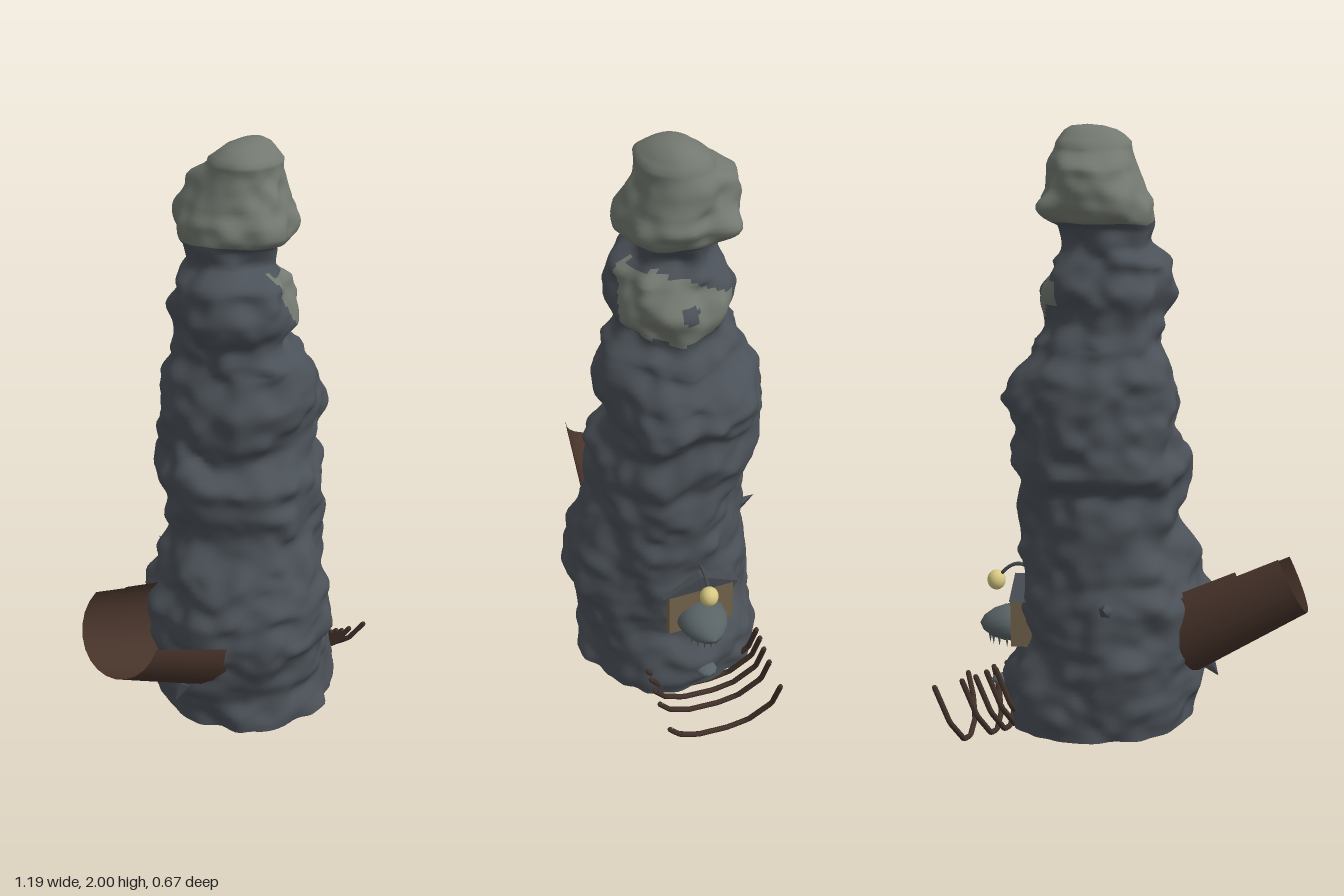
import * as THREE from 'three';

const mat = (name, color, double) => {
  const m = new THREE.MeshStandardMaterial({ color });
  m.name = name;
  if (double) m.side = THREE.DoubleSide;
  return m;
};

// Seeded 3D value noise, about -1..1
const hash = (x, y, z) => {
  let h = (x * 374761393 + y * 668265263 + z * 1274126177) | 0;
  h = Math.imul(h ^ (h >>> 13), 1274126177);
  return (((h ^ (h >>> 16)) >>> 0) / 4294967295) * 2 - 1;
};
function noise(x, y, z) {
  const [i, j, k] = [x, y, z].map(Math.floor);
  const [u, v, w] = [x - i, y - j, z - k].map(t => t * t * (3 - 2 * t));
  const L = THREE.MathUtils.lerp;
  const row = (b, c) => L(hash(i, j + b, k + c), hash(i + 1, j + b, k + c), u);
  return L(L(row(0, 0), row(1, 0), v), L(row(0, 1), row(1, 1), v), w);
}

// Column sections: height, min x, max x, min z, max z
const SECTIONS = [
  [0.10, -0.22, 0.395, -0.30, 0.30], [0.20, -0.235, 0.40, -0.30, 0.30],
  [0.30, -0.25, 0.34, -0.295, 0.31], [0.40, -0.285, 0.33, -0.285, 0.33],
  [0.50, -0.285, 0.34, -0.285, 0.31], [0.60, -0.245, 0.33, -0.26, 0.285],
  [0.75, -0.185, 0.32, -0.24, 0.24], [0.87, -0.20, 0.34, -0.235, 0.25],
  [0.95, -0.215, 0.37, -0.29, 0.25], [1.05, -0.17, 0.34, -0.29, 0.20],
  [1.15, -0.175, 0.385, -0.28, 0.22], [1.22, -0.165, 0.35, -0.27, 0.22],
  [1.33, -0.13, 0.30, -0.23, 0.19], [1.40, -0.13, 0.23, -0.19, 0.13],
  [1.50, -0.16, 0.25, -0.22, 0.18], [1.58, -0.14, 0.22, -0.19, 0.16],
  [1.65, -0.09, 0.18, -0.15, 0.09], [1.70, -0.09, 0.19, -0.155, 0.10],
  [1.725, -0.09, 0.235, -0.20, 0.15], [1.77, -0.085, 0.255, -0.215, 0.15],
  [1.81, -0.065, 0.235, -0.22, 0.14], [1.87, -0.055, 0.225, -0.21, 0.13],
  [1.94, -0.03, 0.21, -0.13, 0.105], [1.975, 0.005, 0.19, -0.085, 0.065],
  [1.995, 0.06, 0.16, -0.045, 0.025],
];

function section(y) {
  let i = 0;
  while (i < SECTIONS.length - 2 && SECTIONS[i + 1][0] < y) i++;
  const a = SECTIONS[i], b = SECTIONS[i + 1];
  const t = THREE.MathUtils.smoothstep(y, a[0], b[0]);
  return a.map((v, k) => v + (b[k] - v) * t);
}

// Lumpy column; pale stone on the cap and one patch
function columnGeometry() {
  const N = 108, M = 150, y0 = 0.1, y1 = 1.995, pos = [], dark = [], pale = [];
  for (let j = 0; j <= M; j++) {
    const y = y0 + (y1 - y0) * j / M;
    for (let i = 0; i < N; i++) {
      const a = i / N * Math.PI * 2, c = Math.cos(a), s = Math.sin(a);
      // Ledges wander up and down around the column
      const wander = y < 1.35 ? 0.035 * noise(c * 2 + 5, y * 4, s * 2) : 0;
      const [, xa, xb, za, zb] = section(Math.max(y0, y + wander));
      const x = (xa + xb) / 2 + c * (xb - xa) / 2, z = (za + zb) / 2 + s * (zb - za) / 2;
      const fade = Math.min(1, (y1 - y) / 0.12);
      // Knob on the back left of the cap
      const knob = 0.06 * Math.exp(-(((a - 5.65) / 0.3) ** 2) - ((y - 1.755) / 0.04) ** 2);
      const d = knob + fade * (0.024 * noise(x * 8 + 3, y * 9, z * 8) +
        0.016 * noise(x * 17, y * 20 + 7, z * 17) - 0.002);
      const lift = j === 0 || j === M ? 0 : 0.017 * fade * noise(x * 9, y * 6 + 40, z * 9);
      pos.push(x + c * d, y + lift, z + s * d);
    }
  }
  const isPale = (a, y) => {
    const n = noise(Math.cos(a) * 3 + 9, y * 8, Math.sin(a) * 3);
    if (y > 1.712) return true;
    if (Math.hypot((a - 0.05) * 0.2, y - 1.505) < 0.028) return false;
    const back = -0.75 + Math.max(0, y - 1.52) * 9;
    const front = 1.27 + (y - 1.5) * 1.8;
    return y > 1.41 + 0.02 * n + 0.07 * Math.max(0, -a) && y < 1.615 + 0.015 * n &&
      a > back + 0.1 * n && a < front + 0.15 * n;
  };
  for (let j = 0; j < M; j++) for (let i = 0; i < N; i++) {
    const k = (i + 1) % N, p = j * N + i, q = j * N + k;
    let a = (i + 0.5) / N * Math.PI * 2;
    if (a > Math.PI) a -= Math.PI * 2;
    (isPale(a, y0 + (y1 - y0) * (j + 0.5) / M) ? pale : dark).push(p, p + N, q, q, p + N, q + N);
  }
  // Rounded tip, then the flat underside with its own rim
  const tip = pos.length / 3;
  pos.push(0.11, 2, -0.01);
  for (let i = 0; i < N; i++) pale.push(M * N + i, tip, M * N + (i + 1) % N);
  const rim = tip + 1;
  pos.push(...pos.slice(0, N * 3), 0.08, y0, 0);
  for (let i = 0; i < N; i++) dark.push(rim + i, rim + (i + 1) % N, rim + N);
  const g = new THREE.BufferGeometry();
  g.setAttribute('position', new THREE.Float32BufferAttribute(pos, 3));
  g.setIndex([...dark, ...pale]);
  g.addGroup(0, dark.length, 0);
  g.addGroup(dark.length, pale.length, 1);
  g.computeVertexNormals();
  return g;
}

export function createModel() {
  const model = new THREE.Group();
  const rock = mat('dark rock', 0x4b5158);
  const stone = mat('pale stone', 0x737970);
  const hullWood = mat('hull wood', 0x47332a, true);
  const ribWood = mat('rib wood', 0x42312a);
  const plank = mat('hut plank', 0x75664e);
  const slate = mat('slate', 0x454a50);
  const skin = mat('fish skin', 0x596366);
  const glow = mat('lamp glow', 0xd9c983);
  const add = (name, geo, m, x = 0, y = 0, z = 0, parent = model) => {
    const mesh = new THREE.Mesh(geo, m);
    mesh.name = name;
    mesh.position.set(x, y, z);
    parent.add(mesh);
    return mesh;
  };
  add('rockColumn', columnGeometry(), [rock, stone]);

  // Broken hull: open half shells along a sloping axis, rolled towards the front
  const hull = new THREE.Group();
  hull.name = 'hull';
  hull.position.set(-0.53, 0.605, -0.005);
  hull.rotation.z = Math.PI / 2 - 0.45;
  model.add(hull);
  const shell = (name, start, length, r0, r1, from, arc) =>
    add(name, new THREE.CylinderGeometry(r0, r1, length, 14, 1, true, from, arc),
      hullWood, 0, -start - length / 2, 0, hull);
  // Angle -PI/2 is the keel
  shell('outerHull', 0, 0.4, 0.15, 0.186, -Math.PI / 2 - 2.12, 3.65);
  shell('innerHull', 0.14, 0.27, 0.157, 0.182, -Math.PI / 2 - 2.22, 3.72);

  // Curved ribs sharing one leaning outline: height, z
  const outline = [[0.24, -0.2], [0.11, -0.195], [0.02, -0.13], [0, -0.06], [0.015, 0.05], [0.07, 0.125], [0.14, 0.168]];
  [[0.505, 0.01], [0.415, 0.036], [0.37, 0.052], [0.335, 0.07], [0.305, 0.08]].forEach(([x, y]) => {
    const path = new THREE.CurvePath();
    const pts = outline.map(([h, z]) => new THREE.Vector3(x + h * 0.35, y + h * 0.93, z));
    for (let i = 1; i < pts.length; i++) path.add(new THREE.LineCurve3(pts[i - 1], pts[i]));
    add('rib', new THREE.TubeGeometry(path, 30, 0.009, 6), ribWood);
    [pts[0], pts[pts.length - 1]].forEach(p => add('ribEnd', new THREE.SphereGeometry(0.009, 6, 4), ribWood, p.x, p.y, p.z));
  });

  // Small hut with a pitched roof
  add('hut', new THREE.BoxGeometry(0.18, 0.16, 0.22), plank, 0.262, 0.435, -0.017);
  const gable = new THREE.Shape([[-0.13, 0], [0.13, 0], [0, 0.055]].map(p => new THREE.Vector2(...p)));
  const roof = add('hutRoof', new THREE.ExtrudeGeometry(gable, { depth: 0.173, bevelEnabled: false }),
    slate, 0.18, 0.512, -0.017);
  roof.rotation.y = Math.PI / 2;

  // Pointed fish head with teeth
  const snout = [[0, -0.6], [0.7, -0.4], [1, 0], [0.95, 0.3], [0.75, 0.62], [0.4, 0.88], [0, 1]];
  const head = add('fishHead', new THREE.LatheGeometry(snout.map(p => new THREE.Vector2(...p)), 20),
    skin, 0.35, 0.4, -0.017);
  head.scale.set(0.06, 0.122, 0.083);
  head.rotation.z = -Math.PI / 2 - 0.06;
  for (let i = 0; i < 9; i++) {
    const a = (i / 8 - 0.5) * 2.8;
    const tooth = add('tooth', new THREE.ConeGeometry(0.008, 0.045, 5), skin,
      0.36 + 0.08 * Math.cos(a), 0.355, -0.017 + 0.058 * Math.sin(a));
    tooth.rotation.x = Math.PI;
  }

  // Lamp on a bent stalk
  const stalk = new THREE.QuadraticBezierCurve3(new THREE.Vector3(0.3, 0.58, -0.02),
    new THREE.Vector3(0.35, 0.63, -0.02), new THREE.Vector3(0.405, 0.555, -0.02));
  add('lampStalk', new THREE.TubeGeometry(stalk, 12, 0.006, 6), slate);
  add('lamp', new THREE.SphereGeometry(0.03, 16, 12), glow, 0.415, 0.542, -0.017).scale.y = 1.1;

  // Loose shards and a pebble
  const shard = (h, x, y, z, rx, rz) =>
    add('shard', new THREE.ConeGeometry(0.03, h, 5), rock, x, y, z).rotation.set(rx, 0, rz);
  shard(0.065, -0.29, 0.25, 0.02, 0, 2.5);
  shard(0.09, 0.03, 0.545, -0.295, -1.2, 0);
  add('pebble', new THREE.SphereGeometry(0.035, 10, 8), skin, 0.4, 0.2, -0.02).scale.y = 0.5;
  return model;
}
